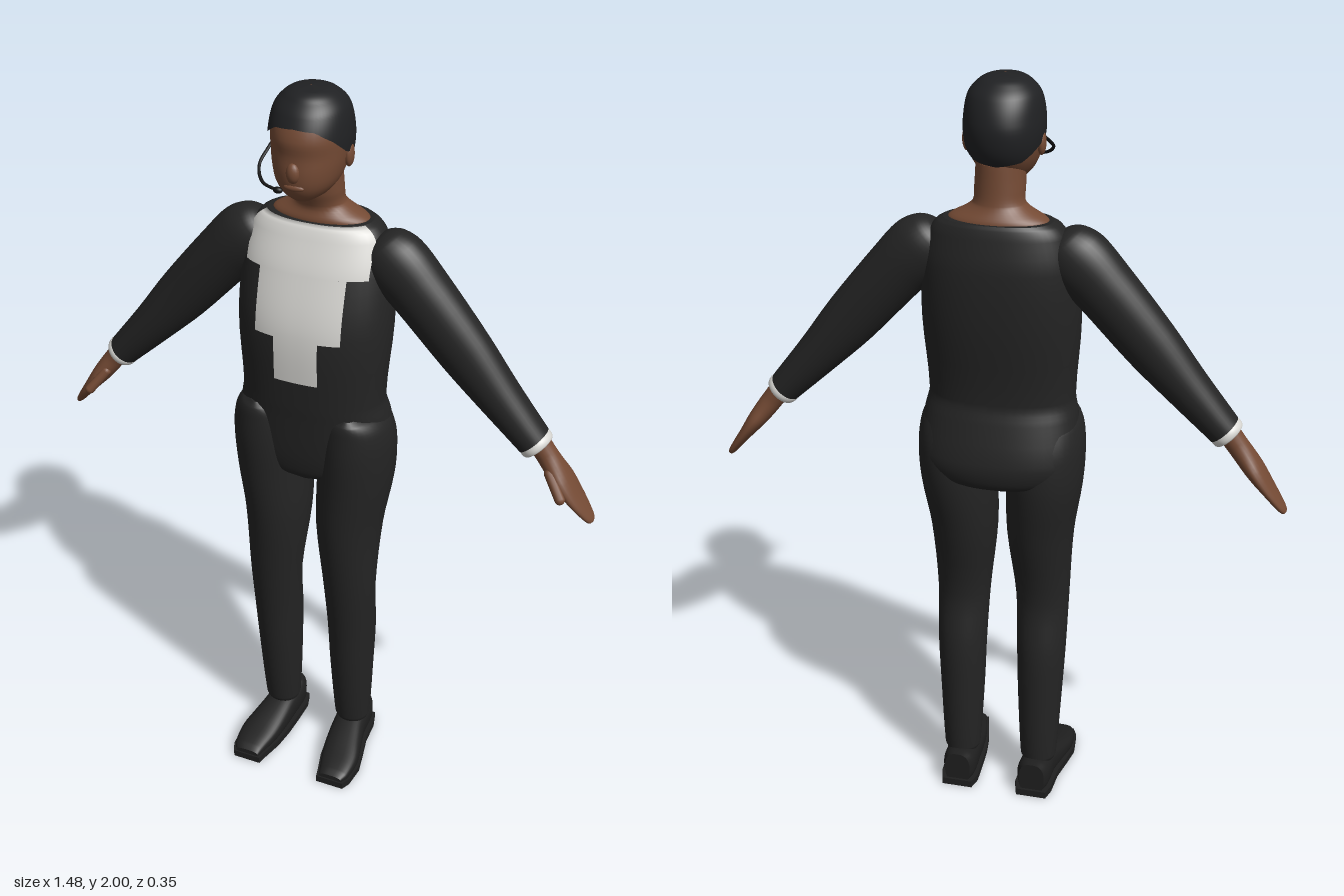
import * as THREE from 'three';
import { ParametricGeometry } from 'three/addons/geometries/ParametricGeometry.js';

const mat = (name, color) => {
  const m = new THREE.MeshStandardMaterial({ color });
  m.name = name;
  return m;
};

// Cross-sections are [y, centreX, radiusX, frontZ, backZ], listed from top to bottom.
// Smooth interpolation of the sections at height y.
function sectionAt(rows, y) {
  const last = rows.length - 1;
  if (y >= rows[0][0]) return rows[0];
  if (y <= rows[last][0]) return rows[last];
  let i = 0;
  while (rows[i + 1][0] > y) i++;
  const a = rows[i], b = rows[i + 1], h = b[0] - a[0], t = (y - a[0]) / h;
  const slope = (k, c) => {
    const p = rows[Math.max(k - 1, 0)], q = rows[Math.min(k + 1, last)];
    return (q[c] - p[c]) / (q[0] - p[0]);
  };
  return a.map((v, c) => c === 0 ? y :
    v * (1 + 2 * t) * (1 - t) ** 2 + b[c] * t * t * (3 - 2 * t)
    + h * (slope(i, c) * t * (1 - t) ** 2 + slope(i + 1, c) * t * t * (t - 1)));
}

// Point on a section at an angle measured from the front towards +x; n squares the section.
function ringPoint([y, cx, rx, zf, zb], angle, n = 2, grow = 0) {
  const pw = v => Math.sign(v) * Math.abs(v) ** (2 / n);
  return [cx + (rx + grow) * pw(Math.sin(angle)), y,
    (zf + zb) / 2 + ((zf - zb) / 2 + grow) * pw(Math.cos(angle))];
}

// Closed smooth body through the sections.
function loft(rows, { seg = 36, n = 2, steps = 4 } = {}) {
  const rings = [];
  rows.forEach((r, i) => {
    if (i === rows.length - 1) return rings.push(r);
    for (let k = 0; k < steps; k++) rings.push(sectionAt(rows, r[0] + (rows[i + 1][0] - r[0]) * k / steps));
  });
  const pos = [], index = [];
  const addRing = r => {
    for (let j = 0; j < seg; j++) pos.push(...ringPoint(r, j / seg * Math.PI * 2, n));
  };
  rings.forEach(addRing);
  for (let i = 0; i < rings.length - 1; i++) for (let j = 0; j < seg; j++) {
    const a = i * seg + j, d = i * seg + (j + 1) % seg;
    index.push(a, a + seg, d + seg, a, d + seg, d);
  }
  // End caps with their own corners
  [rings[0], rings[rings.length - 1]].forEach((r, end) => {
    const base = pos.length / 3;
    addRing(r);
    pos.push(r[1], r[0], (r[3] + r[4]) / 2);
    for (let j = 0; j < seg; j++) {
      const p = base + j, q = base + (j + 1) % seg;
      index.push(base + seg, end ? q : p, end ? p : q);
    }
  });
  const g = new THREE.BufferGeometry();
  g.setAttribute('position', new THREE.Float32BufferAttribute(pos, 3));
  g.setIndex(index);
  g.computeVertexNormals();
  return g;
}

export function createModel() {
  const suit = mat('black suit', 0x242424), shirt = mat('white shirt', 0xd8d7d3);
  const skin = mat('brown skin', 0x744a34), hair = mat('black hair', 0x202123);
  const leather = mat('black shoe leather', 0x1f1f1f), plastic = mat('headset plastic', 0x101010);

  const model = new THREE.Group();
  model.name = 'standingMan';
  const add = (parent, name, geometry, material) => {
    const m = new THREE.Mesh(geometry, material);
    m.name = name;
    parent.add(m);
    return m;
  };
  const group = (name, x = 0, y = 0, z = 0) => {
    const g = new THREE.Group();
    g.name = name;
    g.position.set(x, y, z);
    model.add(g);
    return g;
  };

  // Jacket, from the open collar down to the crotch
  const torsoRows = [
    [1.665, 0, 0.135, 0.01, -0.138], [1.655, 0, 0.153, 0.018, -0.143], [1.63, 0, 0.17, 0.03, -0.15],
    [1.55, 0, 0.192, 0.062, -0.164], [1.4, 0, 0.2, 0.098, -0.16], [1.2, 0, 0.188, 0.094, -0.137],
    [1.15, 0, 0.198, 0.09, -0.15], [1.05, 0, 0.21, 0.083, -0.176], [1.0, 0, 0.198, 0.076, -0.172],
    [0.97, 0, 0.15, 0.066, -0.15], [0.95, 0, 0.04, 0.045, -0.09]];
  const body = group('body', -0.008);
  add(body, 'jacket', loft(torsoRows, { seg: 48, n: 2.3 }), suit);

  // Stepped shirt front, laid just over the jacket
  [[1.55, 1.666, 0.16], [1.39, 1.55, 0.113], [1.27, 1.39, 0.058]].forEach(([y0, y1, half]) => {
    add(body, 'shirtFront', new ParametricGeometry((u, v, p) => {
      const r = sectionAt(torsoRows, y0 + (y1 - y0) * v);
      const w = Math.min(half, r[2] * 0.95), x = w * (2 * u - 1);
      const mid = (r[3] + r[4]) / 2, rz = (r[3] - r[4]) / 2;
      p.set(x, y0 + (y1 - y0) * v, mid + (rz + 0.005) * (1 - Math.abs(x / (r[2] + 0.005)) ** 2.3) ** (1 / 2.3));
    }, 24, 16), shirt);
  });

  // Neck spreading into the bare collar area
  add(body, 'neck', loft([
    [1.8, 0, 0.06, 0.03, -0.105], [1.74, 0, 0.062, 0.015, -0.108], [1.705, 0, 0.064, 0, -0.112],
    [1.69, 0, 0.082, -0.002, -0.118], [1.668, 0, 0.122, 0.004, -0.13], [1.65, 0, 0.125, 0, -0.13]]), skin);

  // Head
  const headRows = [
    [1.996, 0, 0.002, -0.008, -0.012], [1.992, 0, 0.035, 0.03, -0.05], [1.975, 0, 0.064, 0.056, -0.082],
    [1.95, 0, 0.082, 0.078, -0.106], [1.9, 0, 0.091, 0.099, -0.125], [1.86, 0, 0.091, 0.097, -0.126],
    [1.82, 0, 0.085, 0.1, -0.115], [1.785, 0, 0.073, 0.096, -0.09], [1.758, 0, 0.052, 0.082, -0.06],
    [1.742, 0, 0.028, 0.062, -0.03]];
  const head = group('head', -0.012);
  add(head, 'face', loft(headRows, { n: 2.1 }), skin);
  const blob = (parent, name, x, y, z, sx, sy, sz, material) => {
    const m = add(parent, name, new THREE.SphereGeometry(1, 16, 12), material);
    m.position.set(x, y, z);
    m.scale.set(sx, sy, sz);
    return m;
  };
  blob(head, 'nose', 0, 1.825, 0.096, 0.017, 0.025, 0.015, skin);
  blob(head, 'lips', 0, 1.788, 0.092, 0.026, 0.009, 0.009, skin);
  for (const s of [-1, 1]) blob(head, 'ear', s * 0.091, 1.842, -0.022, 0.011, 0.03, 0.018, skin);

  // Short hair with a hairline that drops towards the nape: [angle in degrees, height]
  const hairline = [[0, 1.93], [30, 1.925], [55, 1.9], [80, 1.86], [110, 1.84], [140, 1.81], [180, 1.8]];
  add(head, 'hair', new ParametricGeometry((u, v, p) => {
    const angle = (2 * u - 1) * Math.PI, deg = Math.min(Math.abs(angle) * 180 / Math.PI, 179.999);
    const k = hairline.findIndex(h => h[0] > deg), [a, b] = [hairline[k - 1], hairline[k]];
    const low = a[1] + (b[1] - a[1]) * (deg - a[0]) / (b[0] - a[0]);
    const y = 1.996 - (1.996 - low) * (1 - v) ** 2;
    const [x, , z] = ringPoint(sectionAt(headRows, y), angle, 2.1, 0.006 * Math.min(1, (1 - v) * 4));
    p.set(x, y + 0.004 * v, z);
  }, 64, 28), hair);

  // Headset arm and microphone on the right cheek
  const wire = new THREE.CatmullRomCurve3([[-0.092, 1.86, -0.02], [-0.1, 1.838, 0.015], [-0.104, 1.812, 0.055],
    [-0.08, 1.788, 0.09], [-0.04, 1.78, 0.102]].map(p => new THREE.Vector3(...p)));
  add(head, 'headsetArm', new THREE.TubeGeometry(wire, 24, 0.004, 8), plastic);
  blob(head, 'microphone', -0.036, 1.78, 0.102, 0.012, 0.008, 0.008, plastic);

  for (const s of [-1, 1]) {
    const side = s > 0 ? 'left' : 'right';
    const mirror = rows => rows.map(([y, cx, ...r]) => [y, cx * s, ...r]);

    // Sleeve and cuff, hanging outwards from the shoulder
    const arm = group(side + 'Arm', s * 0.185 - 0.005, 1.565, -0.053);
    arm.rotation.z = s * 0.763;
    add(arm, 'sleeve', loft(mirror([
      [0.078, 0.01, 0.012, 0.01, -0.01], [0.068, 0.01, 0.045, 0.04, -0.04], [0.045, 0.01, 0.07, 0.06, -0.06],
      [0, 0.012, 0.084, 0.07, -0.07], [-0.08, 0.015, 0.079, 0.069, -0.069], [-0.28, 0.007, 0.071, 0.06, -0.06],
      [-0.42, 0.002, 0.057, 0.056, -0.054], [-0.56, 0, 0.044, 0.051, -0.048]])), suit);
    add(arm, 'cuff', loft([[-0.55, 0, 0.038, 0.043, -0.041], [-0.565, 0, 0.044, 0.05, -0.047],
      [-0.58, 0, 0.042, 0.047, -0.044], [-0.584, 0, 0.034, 0.038, -0.036]]), shirt);

    // Flat relaxed hand with a forward thumb
    const hand = group(side + 'Hand', s * 0.568 - 0.005, 1.175, -0.055);
    hand.rotation.z = s * 0.655;
    add(hand, 'palmAndFingers', loft([
      [0.01, 0, 0.03, 0.032, -0.032], [-0.06, 0, 0.028, 0.028, -0.03], [-0.1, 0, 0.027, 0.036, -0.037],
      [-0.145, 0, 0.024, 0.046, -0.049], [-0.2, 0, 0.017, 0.042, -0.047], [-0.25, 0, 0.012, 0.026, -0.036],
      [-0.275, 0, 0.008, 0.012, -0.024], [-0.281, 0, 0.002, -0.003, -0.009]], { seg: 24 }), skin);
    const thumb = add(hand, 'thumb', new THREE.CapsuleGeometry(0.013, 0.07, 6, 12), skin);
    thumb.position.set(-s * 0.008, -0.135, 0.042);
    thumb.rotation.x = -0.4;

    // Trouser leg
    const leg = group(side + 'Leg', -0.008);
    add(leg, 'trouserLeg', loft(mirror([
      [1.17, 0.125, 0.03, 0.075, -0.08], [1.155, 0.123, 0.065, 0.088, -0.11], [1.12, 0.122, 0.088, 0.092, -0.13],
      [1.05, 0.12, 0.098, 0.094, -0.15], [0.95, 0.114, 0.099, 0.089, -0.15], [0.8, 0.103, 0.088, 0.08, -0.12],
      [0.6, 0.109, 0.072, 0.06, -0.08], [0.45, 0.111, 0.067, 0.043, -0.1], [0.3, 0.11, 0.061, 0.028, -0.102],
      [0.1, 0.11, 0.05, 0.002, -0.098], [0.085, 0.11, 0.045, -0.005, -0.09]])), suit);

    // Shoe sections from toe to heel: [z, centreX, radiusX, bottom, top]
    const shoeRows = [[0.172, 0.13, 0.034, 0.012, 0.034], [0.15, 0.133, 0.043, 0.008, 0.044],
      [0.09, 0.128, 0.054, 0.005, 0.06], [0.03, 0.118, 0.052, 0.005, 0.077], [-0.03, 0.11, 0.047, 0.005, 0.092],
      [-0.1, 0.107, 0.046, 0.005, 0.102], [-0.128, 0.107, 0.036, 0.005, 0.103]];
    const shoe = group(side + 'Shoe', -0.008);
    const upper = loft(mirror(shoeRows.map(([z, cx, rx, lo, hi]) => [z, cx, rx, -lo, -hi])), { n: 2.6 });
    add(shoe, 'shoeUpper', upper.rotateX(Math.PI / 2), leather);
    const edge = k => shoeRows.map(([z, cx, rx]) => new THREE.Vector2(s * cx + k * (rx + 0.006), z > 0.16 ? -0.176 : z < -0.12 ? 0.135 : -z));
    const outline = new THREE.Shape([...edge(-1), ...edge(1).reverse()]);
    const sole = new THREE.ExtrudeGeometry(outline, { depth: 0.02, bevelEnabled: false });
    add(shoe, 'sole', sole.rotateX(-Math.PI / 2), leather);
  }
  return model;
}
